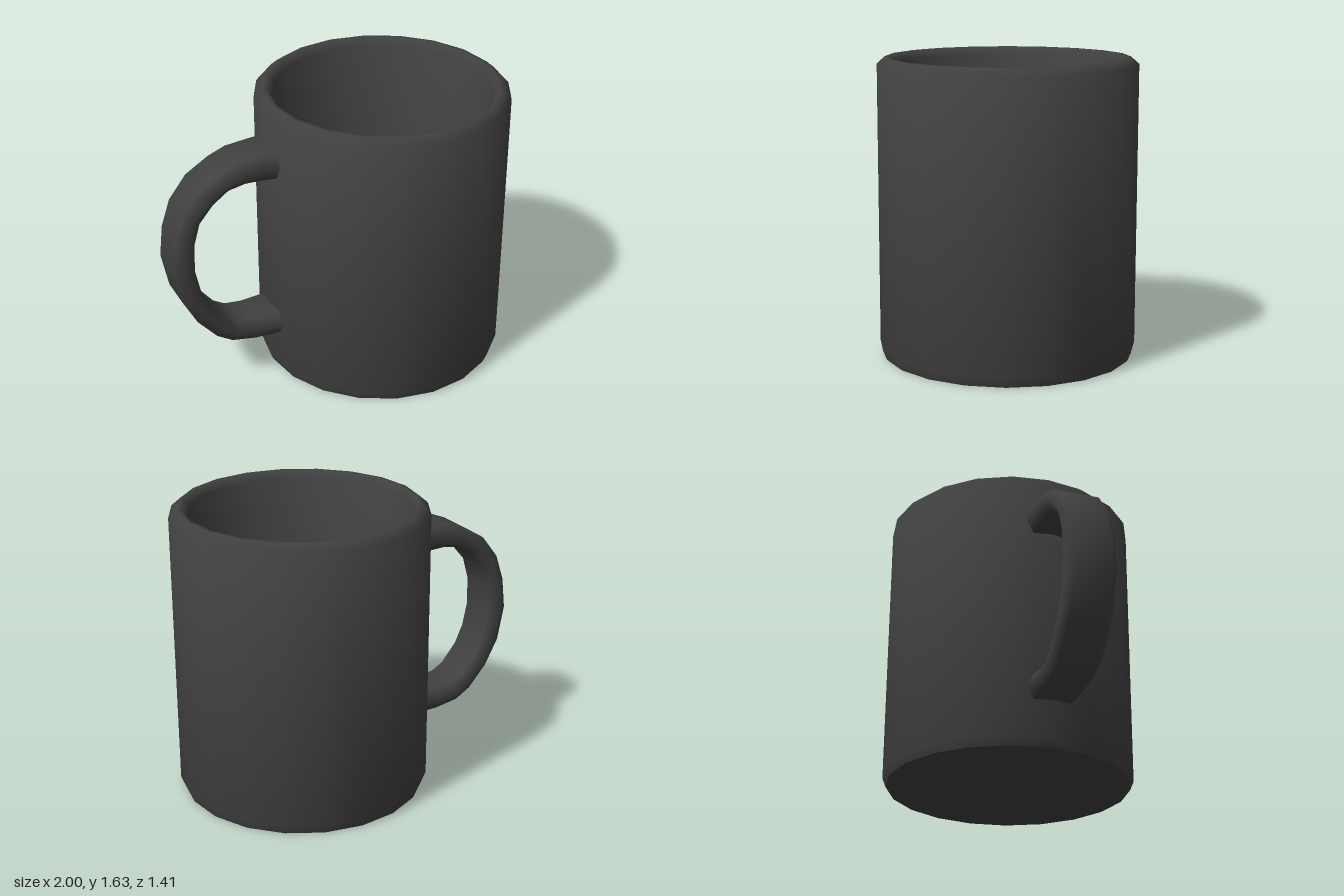
import * as THREE from 'three';
import { toCreasedNormals, mergeVertices } from 'three/addons/utils/BufferGeometryUtils.js';

const CENTRE_X = 0.295;
const SIDES = 20;
const FLOOR_Y = 0.1;

// Cup: one lathe from the base, up the outside, over the rim and down to the inner floor
function cupGeometry() {
  const profile = [
    [0, 0], [0.685, 0], [0.705, 0.05], [0.705, 1.59], [0.66, 1.63],
    [0.635, 1.63], [0.605, 1.59], [0.6, FLOOR_Y], [0, FLOOR_Y],
  ].map(([r, y]) => new THREE.Vector2(r, y));
  const geo = new THREE.LatheGeometry(profile, SIDES);

  // The inner floor is a coarser ten-sided polygon, turned slightly against the rim
  const pos = geo.attributes.position;
  const ring = profile.length - 2;
  for (let i = 0; i <= SIDES; i++) {
    const phi = (i / SIDES) * Math.PI * 2 - THREE.MathUtils.degToRad(8);
    const r = i % 2 ? 0.6 * Math.cos(Math.PI / 10) : 0.6;
    pos.setXYZ(i * profile.length + ring, r * Math.sin(phi), FLOOR_Y, r * Math.cos(phi));
  }
  return toCreasedNormals(geo, THREE.MathUtils.degToRad(60));
}

// Handle: flattened six-sided sections strung between an outer and an inner curve
function handleGeometry() {
  const outer = [
    [-0.36, 1.42], [-0.46, 1.415], [-0.6, 1.4], [-0.7, 1.36], [-0.83, 1.28], [-0.93, 1.15], [-0.98, 1.0],
    [-1, 0.82], [-0.96, 0.62], [-0.88, 0.47], [-0.77, 0.345], [-0.68, 0.29], [-0.54, 0.265], [-0.36, 0.26],
  ];
  const inner = [
    [-0.36, 1.25], [-0.46, 1.26], [-0.57, 1.265], [-0.67, 1.245], [-0.76, 1.18], [-0.84, 1.085], [-0.875, 0.96],
    [-0.88, 0.8], [-0.85, 0.66], [-0.8, 0.55], [-0.71, 0.44], [-0.64, 0.4], [-0.54, 0.39], [-0.36, 0.405],
  ];
  // [0 = outer, 1 = inner; z]
  const section = [[0, 0.105], [0.5, 0.147], [1, 0.105], [1, -0.105], [0.5, -0.147], [0, -0.105]];
  const n = section.length;
  const positions = [];
  const index = [];
  outer.forEach(([ox, oy], i) => {
    const [ix, iy] = inner[i];
    for (const [t, z] of section) {
      positions.push(ox + (ix - ox) * t, oy + (iy - oy) * t, z + 0.005);
    }
    if (i === 0) return;
    for (let j = 0; j < n; j++) {
      const a = (i - 1) * n + j;
      const b = (i - 1) * n + ((j + 1) % n);
      index.push(a, a + n, b, b, a + n, b + n);
    }
  });
  const geo = new THREE.BufferGeometry();
  geo.setAttribute('position', new THREE.Float32BufferAttribute(positions, 3));
  geo.setIndex(index);
  const smooth = mergeVertices(geo);
  smooth.computeVertexNormals();
  return smooth;
}

export function createModel() {
  const group = new THREE.Group();
  group.name = 'mug';
  const material = new THREE.MeshStandardMaterial({ color: 0x404040 });

  const cup = new THREE.Mesh(cupGeometry(), material);
  cup.name = 'cup';
  cup.position.x = CENTRE_X;

  const handle = new THREE.Mesh(handleGeometry(), material);
  handle.name = 'handle';

  group.add(cup, handle);
  return group;
}
